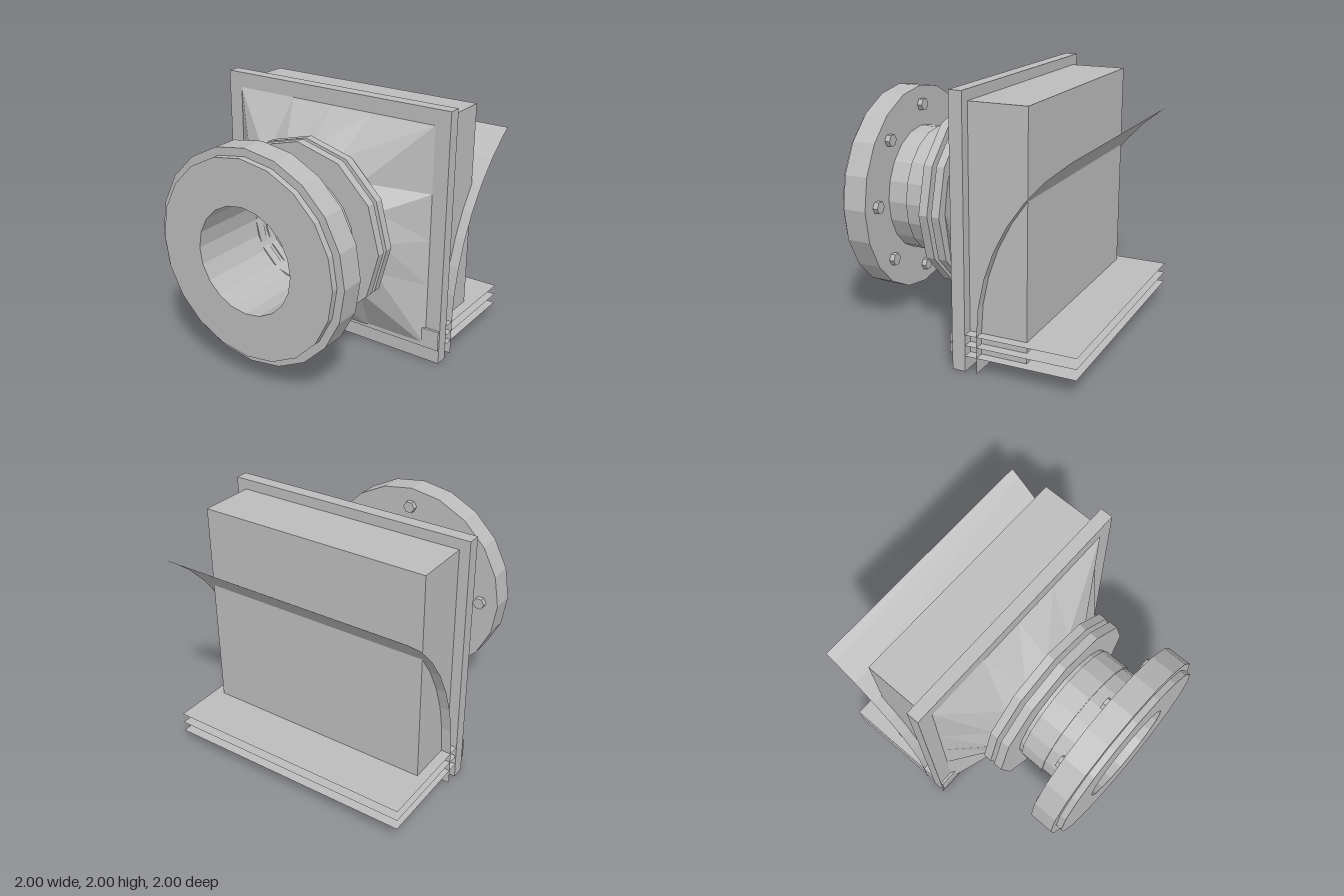
import * as THREE from 'three';

const AXIS_Y = 1; // height of the pipe axis

export function createModel() {
  const model = new THREE.Group();
  const grey = new THREE.MeshStandardMaterial({ color: 0xbcbcbc, flatShading: true, side: THREE.DoubleSide });
  grey.name = 'plain grey';

  const add = (name, geometry, x = 0, y = 0, z = 0) => {
    const mesh = new THREE.Mesh(geometry, grey);
    mesh.name = name;
    mesh.position.set(x, y, z);
    model.add(mesh);
    return mesh;
  };

  // Hollow ring around the pipe axis, from z0 to z1
  const ring = (name, outer, inner, z0, z1, sides) => {
    const profile = [[inner, z0], [outer, z0], [outer, z1], [inner, z1], [inner, z0]];
    const g = new THREE.LatheGeometry(profile.map(p => new THREE.Vector2(...p)), sides);
    add(name, g.rotateX(Math.PI / 2), 0, AXIS_Y, 0);
  };

  // Strip of quads swept across x along a path of [y, z] points
  const sheet = (name, path, halfWidth = 1) => {
    const pos = [], index = [];
    path.forEach(([y, z], i) => {
      pos.push(-halfWidth, y, z, halfWidth, y, z);
      const a = i * 2;
      if (i) index.push(a - 2, a - 1, a + 1, a - 2, a + 1, a);
    });
    const g = new THREE.BufferGeometry();
    g.setAttribute('position', new THREE.Float32BufferAttribute(pos, 3));
    g.setIndex(index);
    g.computeVertexNormals();
    add(name, g);
  };

  // Rear housing and mounting plate
  add('housing', new THREE.BoxGeometry(1.84, 1.84, 0.44), 0, AXIS_Y, -0.38);
  add('mountingPlate', new THREE.BoxGeometry(2, 2, 0.1), 0, AXIS_Y, -0.11);

  // Square-to-round transition
  const pos = [], index = [], n = 16;
  for (let i = 0; i < n; i++) {
    const a = i / n * Math.PI * 2, c = Math.cos(a), s = Math.sin(a);
    const k = 0.88 / Math.max(Math.abs(c), Math.abs(s));
    pos.push(c * k, s * k, -0.06, c * 0.62, s * 0.62, 0.2);
    const b0 = i * 2, r0 = b0 + 1, b1 = ((i + 1) % n) * 2, r1 = b1 + 1;
    index.push(b0, r1, r0, b0, b1, r1);
  }
  const loft = new THREE.BufferGeometry();
  loft.setAttribute('position', new THREE.Float32BufferAttribute(pos, 3));
  loft.setIndex(index);
  loft.computeVertexNormals();
  add('transition', loft, 0, AXIS_Y, 0);

  // Pipe, collar and flanges
  ring('rearFlange', 0.71, 0.41, 0.2, 0.265, 12);
  ring('middleFlange', 0.71, 0.41, 0.3, 0.37, 12);
  ring('pipe', 0.5, 0.41, 0.2, 0.8, 20);
  ring('collar', 0.51, 0.45, 0.4, 0.6, 20);
  ring('frontFlange', 0.82, 0.41, 0.76, 0.95, 20);
  ring('flangeFace', 0.76, 0.41, 0.95, 1, 20);

  // Hexagonal bolts behind the front flange
  for (let i = 0; i < 8; i++) {
    const a = i * Math.PI / 4;
    const g = new THREE.CylinderGeometry(0.05, 0.05, 0.04, 6).rotateY(Math.PI / 6).rotateX(Math.PI / 2);
    add('bolt', g, Math.cos(a) * 0.67, AXIS_Y + Math.sin(a) * 0.67, 0.74);
  }

  // Curved sheet rising towards the back
  const R = 1.626, curve = [[0, -0.25]];
  for (let i = 0; i <= 8; i++) {
    const a = Math.min(i * 7.78, 57.4) * Math.PI / 180;
    curve.push([0.28 + R * Math.sin(a), -0.25 - R * (1 - Math.cos(a))]);
  }
  sheet('curvedSheet', curve);

  // Stacked floor sheets with a front lip
  for (const y of [0.12, 0.2, 0.28]) sheet('floorSheet', [[y, -0.04], [y, -1]]);
  sheet('frontLip', [[0.12, -0.04], [0.28, -0.04]]);

  return model;
}
